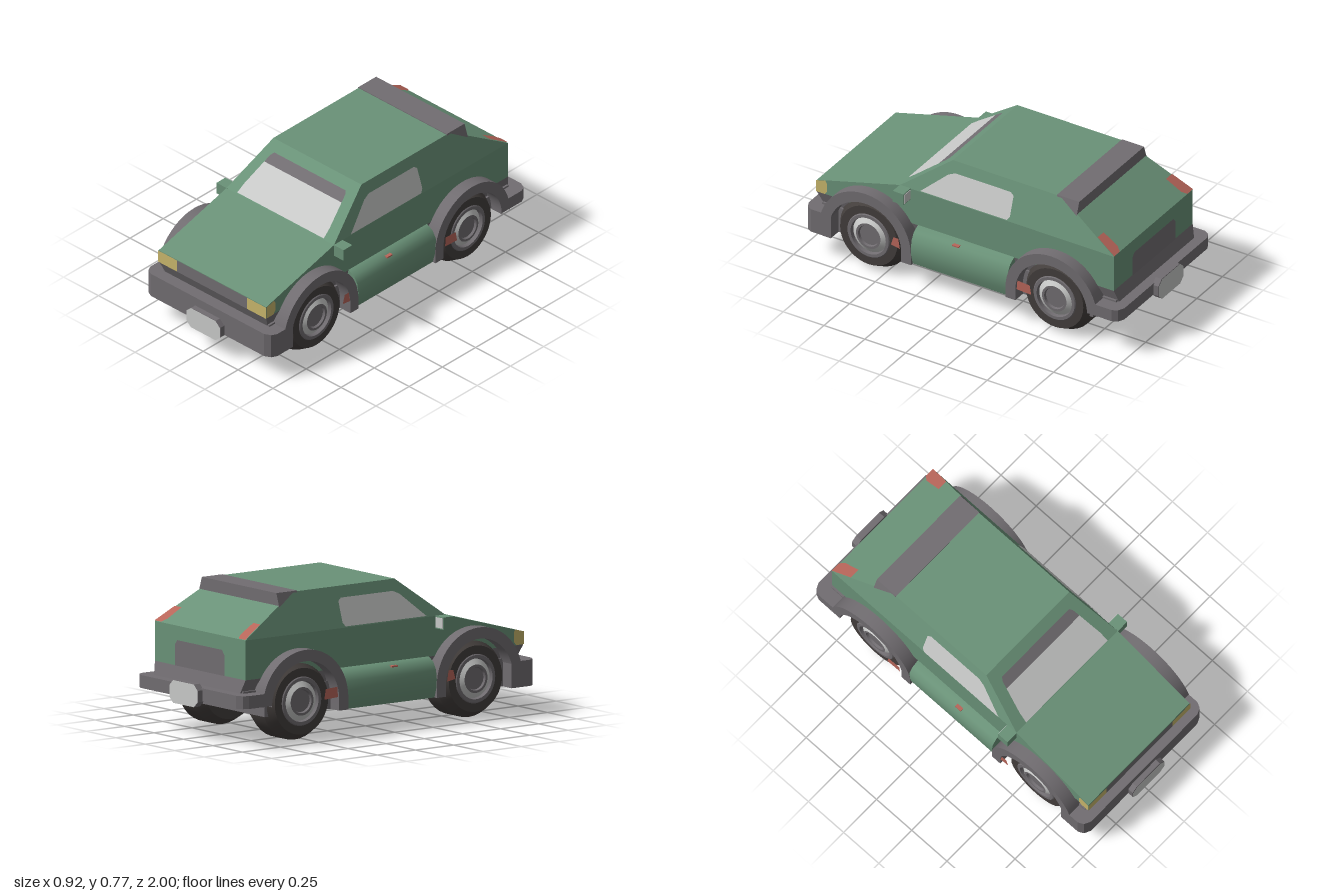
import * as THREE from 'three';
import { toCreasedNormals } from 'three/addons/utils/BufferGeometryUtils.js';

const paint = (name, color) => {
  const m = new THREE.MeshStandardMaterial({ color });
  m.name = name;
  return m;
};

export function createModel() {
  const car = new THREE.Group();
  car.name = 'car';
  const green = paint('green paint', 0x6a9278);
  const grey = paint('grey plastic', 0x716d71);
  const silver = paint('silver glass', 0xc8c9c8);
  const yellow = paint('yellow lamp', 0xc8b66c);
  const red = paint('red lamp', 0xb8665a);
  const rubber = paint('black rubber', 0x433e3c);

  const add = (name, geometry, material, parent = car) => {
    const mesh = new THREE.Mesh(geometry, material);
    mesh.name = name;
    parent.add(mesh);
    return mesh;
  };
  const shapeOf = pts => new THREE.Shape(pts.map(p => new THREE.Vector2(...p)));
  const extrude = (shape, depth, curveSegments = 20) =>
    new THREE.ExtrudeGeometry(shape, { depth, bevelEnabled: false, curveSegments });

  // Side profile (z, y) extruded across the car, with half width given by height
  const across = (pts, halfWidth) => {
    const g = extrude(shapeOf(pts), 2).translate(0, 0, -1).rotateY(-Math.PI / 2);
    const p = g.attributes.position;
    for (let i = 0; i < p.count; i++) p.setX(i, p.getX(i) * halfWidth(p.getY(i)));
    g.computeVertexNormals();
    return g;
  };

  // Convex flat panel laid just outside the body surface
  const panel = (name, pts, material, lift = 0.004) => {
    const v = pts.map(p => new THREE.Vector3(...p));
    const n = v[1].clone().sub(v[0]).cross(v[2].clone().sub(v[0])).normalize();
    if (n.dot(v[0].clone().sub(new THREE.Vector3(0, 0.35, 0))) < 0) {
      n.negate();
      v.reverse();
    }
    v.forEach(p => p.addScaledVector(n, lift));
    const tris = [];
    for (let i = 1; i < v.length - 1; i++) tris.push(v[0], v[i], v[i + 1]);
    const g = new THREE.BufferGeometry().setFromPoints(tris);
    g.computeVertexNormals();
    add(name, g, material);
  };

  // Body shell
  const cabinX = y => 0.385 - (y - 0.56) / 3;
  add('lowerBody', across([[0.93, 0.35], [0.93, 0.42], [0.42, 0.56], [-0.89, 0.56], [-0.89, 0.35]], () => 0.385), green);
  add('cabin', across([[0.42, 0.56], [0.14, 0.77], [-0.53, 0.77], [-0.89, 0.56]], cabinX), green);
  add('roofSpoiler', across([[-0.5, 0.774], [-0.635, 0.774], [-0.635, 0.7], [-0.53, 0.765], [-0.5, 0.765]],
    y => cabinX(y) + 0.003), grey);
  add('apron', across([[0.93, 0.35], [-0.89, 0.35], [-0.91, 0.28], [0.9, 0.28]], y => 0.385 - (0.35 - y) * 0.28), grey);
  add('floor', across([[0.9, 0.29], [0.9, 0.142], [-0.76, 0.142], [-0.76, 0.212], [-0.9, 0.212], [-0.9, 0.29]], () => 0.38), grey);

  // Windscreen with its dark upper band
  const screen = (x, y) => [x, y, 0.42 - (y - 0.56) * 4 / 3];
  panel('windscreen', [screen(-0.31, 0.563), screen(0.31, 0.563), screen(0.305, 0.6), screen(0.277, 0.69),
    screen(-0.277, 0.69), screen(-0.305, 0.6)], silver);
  panel('windscreenBand', [screen(-0.277, 0.69), screen(0.277, 0.69), screen(0.268, 0.718), screen(0.255, 0.73),
    screen(-0.255, 0.73), screen(-0.268, 0.718)], grey);

  // Nose and tail panels
  panel('grille', [[-0.25, 0.35, 0.93], [0.25, 0.35, 0.93], [0.25, 0.42, 0.93], [-0.25, 0.42, 0.93]], grey);
  panel('tailPanel', [[-0.21, 0.35, -0.89], [0.21, 0.35, -0.89], [0.21, 0.46, -0.89], [0.19, 0.485, -0.89],
    [-0.19, 0.485, -0.89], [-0.21, 0.46, -0.89]], grey);

  // Bumpers with clipped corners, and number plates; dir is +1 front, -1 rear
  for (const [label, dir, low, plateY] of [['front', 1, 0.142, 0.17], ['rear', -1, 0.212, 0.24]]) {
    const half = [[0.455, 0.8], [0.455, 0.92], [0.44, 0.95], [0.405, 0.967]];
    const outline = [...half, ...half.map(([x, z]) => [-x, z]).reverse()].map(([x, z]) => [x, -z * dir]);
    add(label + 'Bumper', extrude(shapeOf(outline), 0.28 - low).rotateX(-Math.PI / 2).translate(0, low, 0), grey);
    const plate = [[0.12, -0.03], [0.12, 0.03], [0.088, 0.06], [-0.088, 0.06],
      [-0.12, 0.03], [-0.12, -0.03], [-0.088, -0.06], [0.088, -0.06]];
    add(label + 'PlateMount', extrude(shapeOf(plate), 0.037).translate(0, plateY, dir > 0 ? 0.96 : -0.997), grey);
    panel(label + 'Plate', plate.map(([x, y]) => [x, y + plateY, 0.997 * dir]), silver, 0.003);
  }

  // Wheel arch: half ring on legs, (z, y) profile around a wheel
  const arch = rearLegY => {
    const s = new THREE.Shape();
    s.moveTo(0.28, 0.142);
    s.lineTo(0.28, 0.205);
    s.absarc(0, 0.205, 0.28, 0, Math.PI, false);
    s.lineTo(-0.28, rearLegY);
    s.lineTo(-0.22, rearLegY);
    s.lineTo(-0.22, 0.205);
    s.absarc(0, 0.205, 0.22, Math.PI, 0, true);
    s.lineTo(0.22, 0.142);
    return toCreasedNormals(extrude(s, 0.095).translate(0, 0, -0.0475).rotateY(-Math.PI / 2), 0.5);
  };

  // Wheel profiles (radius, distance out from the car's middle)
  const lathe = pts => toCreasedNormals(
    new THREE.LatheGeometry(pts.map(p => new THREE.Vector2(...p)), 36).rotateZ(-Math.PI / 2), 0.45);
  const wheelParts = [
    ['tyre', rubber, [[0, 0.18], [0.175, 0.18], [0.21, 0.25], [0.21, 0.36], [0.175, 0.42], [0.13, 0.42]]],
    ['rim', grey, [[0.13, 0.42], [0.125, 0.425], [0.108, 0.425], [0.104, 0.405]]],
    ['rimDish', silver, [[0.104, 0.405], [0.075, 0.425]]],
    ['hub', grey, [[0.075, 0.425], [0.062, 0.425], [0.058, 0.412], [0, 0.412]]],
  ];

  // Mirrored side parts
  for (const s of [1, -1]) {
    const side = s > 0 ? 'left' : 'right';
    for (const [end, z, legY] of [['Front', 0.59, 0.142], ['Rear', -0.55, 0.212]]) {
      add(side + end + 'Arch', arch(legY), grey).position.set(s * 0.4075, 0, z);
      const wheel = new THREE.Group();
      wheel.name = side + end + 'Wheel';
      wheel.position.set(0, 0.21, z);
      wheel.rotation.y = s > 0 ? 0 : Math.PI;
      for (const [name, mat, pts] of wheelParts) add(name, lathe(pts), mat, wheel);
      car.add(wheel);
    }

    // Bulging door sill
    const sill = [[0.37, 0.142], [0.435, 0.142], [0.45, 0.19], [0.455, 0.24], [0.448, 0.29], [0.425, 0.33], [0.385, 0.352], [0.37, 0.352]];
    add(side + 'Sill', toCreasedNormals(extrude(shapeOf(sill.map(([x, y]) => [x * s, y])), 0.59).translate(0, 0, -0.28), 0.6), green);
    add(side + 'DoorCatch', new THREE.BoxGeometry(0.02, 0.008, 0.04), red).position.set(s * 0.425, 0.333, 0.05);

    // Side window
    const glass = [[0.295, 0.565], [0.15, 0.692], [0.11, 0.71], [-0.23, 0.71], [-0.25, 0.695], [-0.25, 0.585], [-0.235, 0.565]];
    panel(side + 'Window', glass.map(([z, y]) => [s * cabinX(y), y, z]), silver);

    // Door mirror with glass facing back
    add(side + 'Mirror', new THREE.BoxGeometry(0.075, 0.066, 0.066), green).position.set(s * 0.4175, 0.528, 0.388);
    add(side + 'MirrorGlass', new THREE.BoxGeometry(0.06, 0.054, 0.004), silver).position.set(s * 0.42, 0.528, 0.354);

    // Headlamp wrapping round the corner
    panel(side + 'Headlamp', [[s * 0.25, 0.35, 0.93], [s * 0.387, 0.35, 0.93], [s * 0.387, 0.42, 0.93], [s * 0.25, 0.42, 0.93]], yellow);
    panel(side + 'HeadlampSide', [[s * 0.385, 0.352, 0.932], [s * 0.385, 0.42, 0.932], [s * 0.385, 0.435, 0.875],
      [s * 0.385, 0.42, 0.866], [s * 0.385, 0.37, 0.866], [s * 0.385, 0.352, 0.88]], yellow);

    // Tail lamp on the sloping hatch
    const hatch = (x, y) => [s * x, y, -0.53 - (0.77 - y) * 12 / 7];
    panel(side + 'TailLamp', [hatch(0.385, 0.56), hatch(0.363, 0.627), hatch(0.305, 0.627), hatch(0.31, 0.575), hatch(0.33, 0.56)], red);

    // Side markers on the arch legs
    for (const [end, pts] of [['Front', [[0.375, 0.222], [0.43, 0.23], [0.415, 0.28], [0.385, 0.28]]],
      ['Rear', [[-0.34, 0.215], [-0.43, 0.21], [-0.42, 0.265], [-0.345, 0.27]]]])
      panel(side + end + 'Marker', pts.map(([z, y]) => [s * 0.455, y, z]), red, 0.003);
  }
  return car;
}
